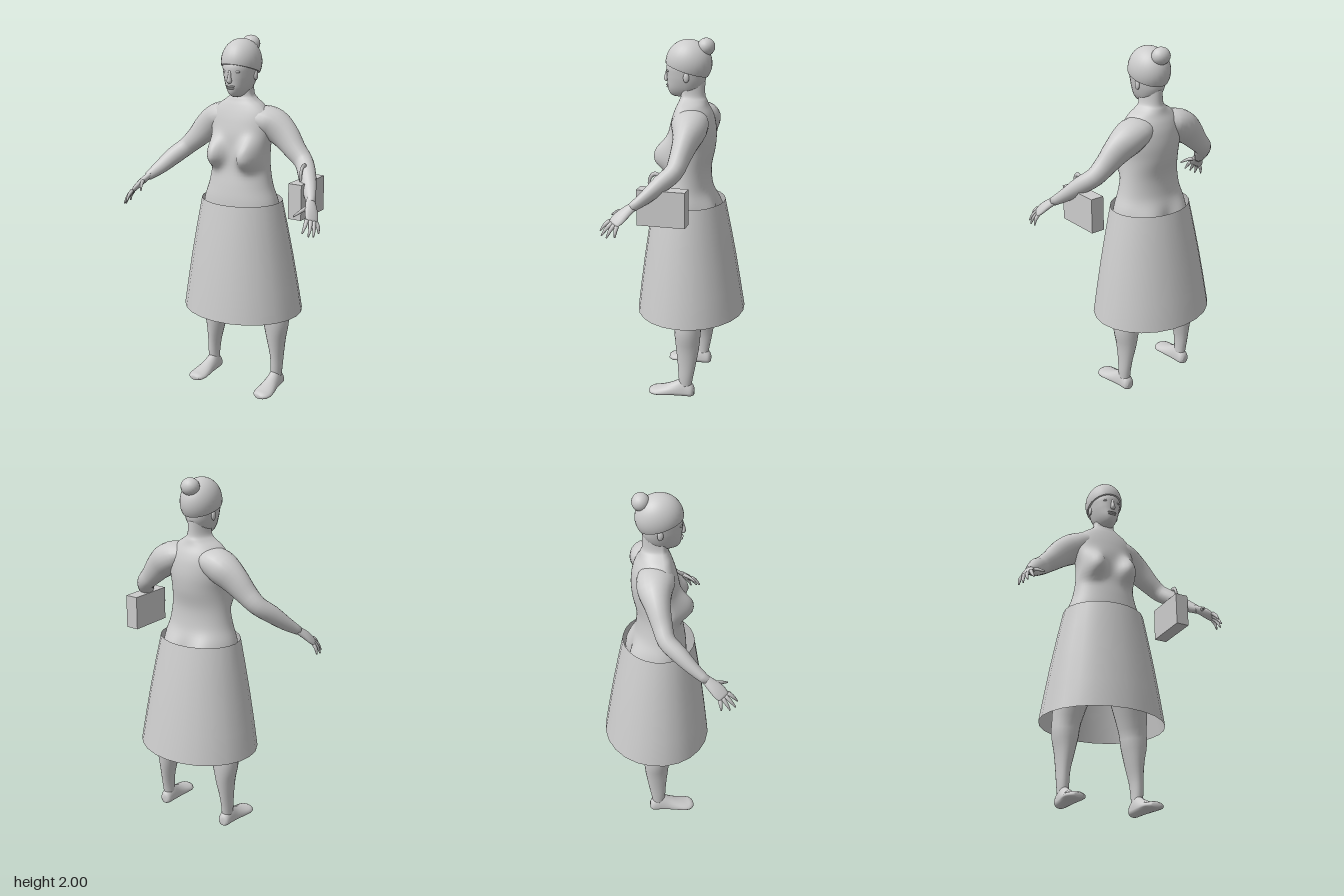
import * as THREE from 'three';
import { mergeVertices } from 'three/addons/utils/BufferGeometryUtils.js';

const grey = new THREE.MeshStandardMaterial({ color: 0xcccccc, side: THREE.DoubleSide });
grey.name = 'light grey';
const V = (x, y, z) => new THREE.Vector3(x, y, z);

// Smooth closed skin through oval sections [x, y, z, a, b, b2]:
// a = half width along ref, b and b2 = half depths on either side of it
function loft(sections, ref, { segs = 20, steps = 3 } = {}) {
  const spline = pts => new THREE.CatmullRomCurve3(pts, false, 'catmullrom', 0.5);
  const path = spline(sections.map(s => V(s[0], s[1], s[2])));
  const size = spline(sections.map(s => V(s[3], s[4], s[5] ?? s[4])));
  const rows = (sections.length - 1) * steps, pos = [], idx = [];
  for (let i = 0; i <= rows; i++) {
    const c = path.getPoint(i / rows), r = size.getPoint(i / rows), t = path.getTangent(i / rows);
    const u = ref.clone().addScaledVector(t, -ref.dot(t)).normalize();
    const w = t.clone().cross(u);
    for (let j = 0; j < segs; j++) {
      const q = j / segs * Math.PI * 2, sn = Math.sin(q);
      const p = c.clone().addScaledVector(u, r.x * Math.cos(q)).addScaledVector(w, sn * (sn > 0 ? r.y : r.z));
      pos.push(p.x, p.y, p.z);
    }
  }
  for (let i = 0; i < rows; i++) for (let j = 0; j < segs; j++) {
    const k = (j + 1) % segs, a = i * segs, b = a + segs;
    idx.push(a + j, a + k, b + k, a + j, b + k, b + j);
  }
  const last = rows * segs;
  for (let j = 1; j < segs - 1; j++) idx.push(0, j + 1, j, last, last + j, last + j + 1);
  const g = new THREE.BufferGeometry();
  g.setAttribute('position', new THREE.Float32BufferAttribute(pos, 3));
  g.setIndex(idx);
  g.computeVertexNormals();
  return g;
}

// Move every vertex by a rule, then smooth the normals
function reshape(g, rule) {
  const p = g.attributes.position;
  for (let i = 0; i < p.count; i++) p.setXYZ(i, ...rule(p.getX(i), p.getY(i), p.getZ(i)));
  g.computeVertexNormals();
  return g;
}

export function createModel() {
  const model = new THREE.Group();
  const X = V(1, 0, 0), Z = V(0, 0, 1);
  const add = (name, geometry) => {
    const m = new THREE.Mesh(geometry, grey);
    m.name = name;
    model.add(m);
    return m;
  };
  const ball = (name, x, y, z, rx, ry = rx, rz = rx) => {
    const m = add(name, new THREE.SphereGeometry(1, 20, 14));
    m.position.set(x, y, z);
    m.scale.set(rx, ry, rz);
  };
  const upright = rows => rows.map(([y, a, back, front]) => [0, y, 0, a, back, front]);

  // Torso and neck: height, half width, back depth, front depth
  const torso = loft(upright([
    [0.82, 0.15, 0.11, 0.08], [0.9, 0.22, 0.14, 0.12], [1.0, 0.238, 0.155, 0.14],
    [1.11, 0.222, 0.155, 0.14], [1.2, 0.192, 0.135, 0.128], [1.3, 0.174, 0.13, 0.11],
    [1.4, 0.168, 0.15, 0.105], [1.48, 0.178, 0.157, 0.1], [1.55, 0.18, 0.15, 0.085],
    [1.6, 0.165, 0.135, 0.07], [1.64, 0.13, 0.115, 0.055], [1.67, 0.085, 0.105, 0.042],
    [1.7, 0.062, 0.095, 0.035], [1.78, 0.055, 0.095, 0.05],
  ]), X, { segs: 56, steps: 5 });
  // Breasts and buttocks swell out of the trunk
  add('torso', reshape(torso, (x, y, z) => {
    const bump = (cx, cy, wx, up, down) => {
      const d = Math.hypot((Math.abs(x) - cx) / wx, (y - cy) / (y > cy ? up : down));
      return Math.exp(-(d ** 2.8));
    };
    const front = 0.08 * bump(0.108, 1.37, 0.062, 0.09, 0.07);
    const back = 0.042 * bump(0.11, 1.02, 0.085, 0.11, 0.12);
    return [x, y, z > 0.005 ? z + front : z < -0.005 ? z - back : z];
  }));

  // Head and face
  add('head', loft(upright([
    [1.686, 0.022, 0.01, 0.075], [1.7, 0.042, 0.03, 0.098], [1.73, 0.062, 0.07, 0.11],
    [1.77, 0.077, 0.095, 0.112], [1.81, 0.086, 0.1, 0.115], [1.86, 0.09, 0.105, 0.113],
    [1.92, 0.06, 0.07, 0.07],
  ]), X, { segs: 24 }));
  add('nose', loft([
    [0, 1.83, 0.108, 0.008, 0.01], [0, 1.795, 0.116, 0.01, 0.013],
    [0, 1.775, 0.118, 0.015, 0.013], [0, 1.766, 0.113, 0.01, 0.007],
  ], X, { segs: 10 }));
  ball('upperLip', 0, 1.747, 0.108, 0.027, 0.006, 0.011);
  ball('lowerLip', 0, 1.736, 0.106, 0.023, 0.006, 0.011);

  // Round hair cap tilted back, with a bun
  const hair = new THREE.Group();
  hair.name = 'hair';
  const rim = Math.PI * 0.6;
  const cap = new THREE.Mesh(new THREE.SphereGeometry(1, 28, 16, 0, Math.PI * 2, 0, rim), grey);
  cap.name = 'hairCap';
  const under = new THREE.Mesh(new THREE.CircleGeometry(Math.sin(rim), 28), grey);
  under.name = 'hairUnderside';
  under.rotation.x = Math.PI / 2;
  under.position.y = Math.cos(rim);
  hair.add(cap, under);
  hair.position.set(0, 1.866, -0.006);
  hair.scale.set(0.105, 0.124, 0.126);
  hair.rotation.x = -0.3;
  model.add(hair);
  ball('hairBun', 0, 1.953, -0.1, 0.052, 0.047, 0.047);

  for (const s of [1, -1]) {
    const side = s > 0 ? 'left' : 'right';
    const limb = (name, rows, ref, opts) =>
      add(side + name, loft(rows.map(([x, ...rest]) => [s * x, ...rest]), ref, opts));

    ball(side + 'Eye', s * 0.036, 1.825, 0.096, 0.016, 0.008, 0.012);
    ball(side + 'Ear', s * 0.086, 1.798, -0.012, 0.01, 0.026, 0.016);

    // Arm growing out of the upper chest, down to the wrist
    limb('Arm', [
      [0.03, 1.59, -0.035, 0.07, 0.04], [0.11, 1.565, -0.04, 0.1, 0.075],
      [0.18, 1.535, -0.052, 0.092, 0.088], [0.25, 1.485, -0.048, 0.068, 0.08],
      [0.32, 1.415, -0.035, 0.054, 0.062], [0.38, 1.36, -0.02, 0.048, 0.052],
      [0.43, 1.31, 0.035, 0.045, 0.05], [0.48, 1.25, 0.1, 0.034, 0.04],
      [0.525, 1.2, 0.165, 0.023, 0.024],
    ], Z);

    // Flattened palm, four fingers and a thumb
    const across = V(-0.45 * s, 0.2, 0.9);
    limb('Palm', [
      [0.505, 1.224, 0.137, 0.02, 0.017], [0.54, 1.18, 0.19, 0.034, 0.018],
      [0.56, 1.15, 0.222, 0.04, 0.015], [0.575, 1.125, 0.245, 0.034, 0.01],
    ], across, { segs: 14 });
    const fingers = [
      [0.557, 1.137, 0.268, 0.56, 1.08, 0.32], [0.57, 1.13, 0.252, 0.588, 1.064, 0.305],
      [0.58, 1.124, 0.237, 0.6, 1.056, 0.275], [0.587, 1.118, 0.222, 0.606, 1.064, 0.228],
      [0.528, 1.185, 0.205, 0.487, 1.148, 0.28],
    ];
    fingers.forEach(([x, y, z, x2, y2, z2], i) => limb(i < 4 ? 'Finger' + (i + 1) : 'Thumb', [
      [x, y, z, 0.012, 0.011], [(x + x2) / 2 + 0.004, (y + y2) / 2 + 0.005, (z + z2) / 2, 0.01, 0.009],
      [x2, y2, z2, 0.004, 0.004],
    ], across, { segs: 8 }));

    // Leg from ankle to hip, and foot from heel to toes
    limb('Leg', [
      [0.215, 0.06, -0.04, 0.03, 0.034], [0.217, 0.12, -0.042, 0.032, 0.042],
      [0.215, 0.2, -0.047, 0.037, 0.052], [0.208, 0.3, -0.05, 0.054, 0.066],
      [0.206, 0.39, -0.05, 0.073, 0.074], [0.198, 0.48, -0.047, 0.08, 0.078],
      [0.162, 0.7, -0.03, 0.115, 0.115], [0.13, 0.84, -0.02, 0.125, 0.14, 0.13],
      [0.12, 0.96, -0.02, 0.11, 0.13, 0.12],
    ], X);
    limb('Foot', [
      [0.215, 0.03, -0.09, 0.018, 0.025, 0.02], [0.215, 0.03, -0.075, 0.034, 0.05, 0.028],
      [0.215, 0.03, -0.03, 0.037, 0.08, 0.03], [0.217, 0.028, 0.02, 0.042, 0.055, 0.028],
      [0.22, 0.024, 0.07, 0.05, 0.036, 0.024], [0.222, 0.02, 0.12, 0.055, 0.025, 0.02],
      [0.22, 0.018, 0.15, 0.046, 0.022, 0.018], [0.218, 0.018, 0.168, 0.025, 0.012, 0.012],
    ], X);
  }

  // Flared open skirt, oval at the waist
  const tube = new THREE.CylinderGeometry(1, 1, 1, 24, 4, true);
  tube.deleteAttribute('uv');
  add('skirt', reshape(mergeVertices(tube), (x, y, z) => {
    const t = 0.5 - y, bulge = 0.005 * Math.sin(Math.PI * t);
    return [x * (0.234 + 0.117 * t + bulge), 1.113 - 0.645 * t, z * (0.198 + 0.105 * t + bulge) - 0.01 - 0.013 * t];
  }));

  // Handbag hanging from the left forearm
  add('handbag', new THREE.BoxGeometry(0.076, 0.19, 0.256)).position.set(0.425, 1.185, 0.028);
  const strap = add('handbagStrap', new THREE.TorusGeometry(0.033, 0.008, 8, 20));
  strap.rotation.y = Math.PI / 2;
  strap.scale.y = 1.5;
  strap.position.set(0.426, 1.312, 0.063);

  return model;
}
